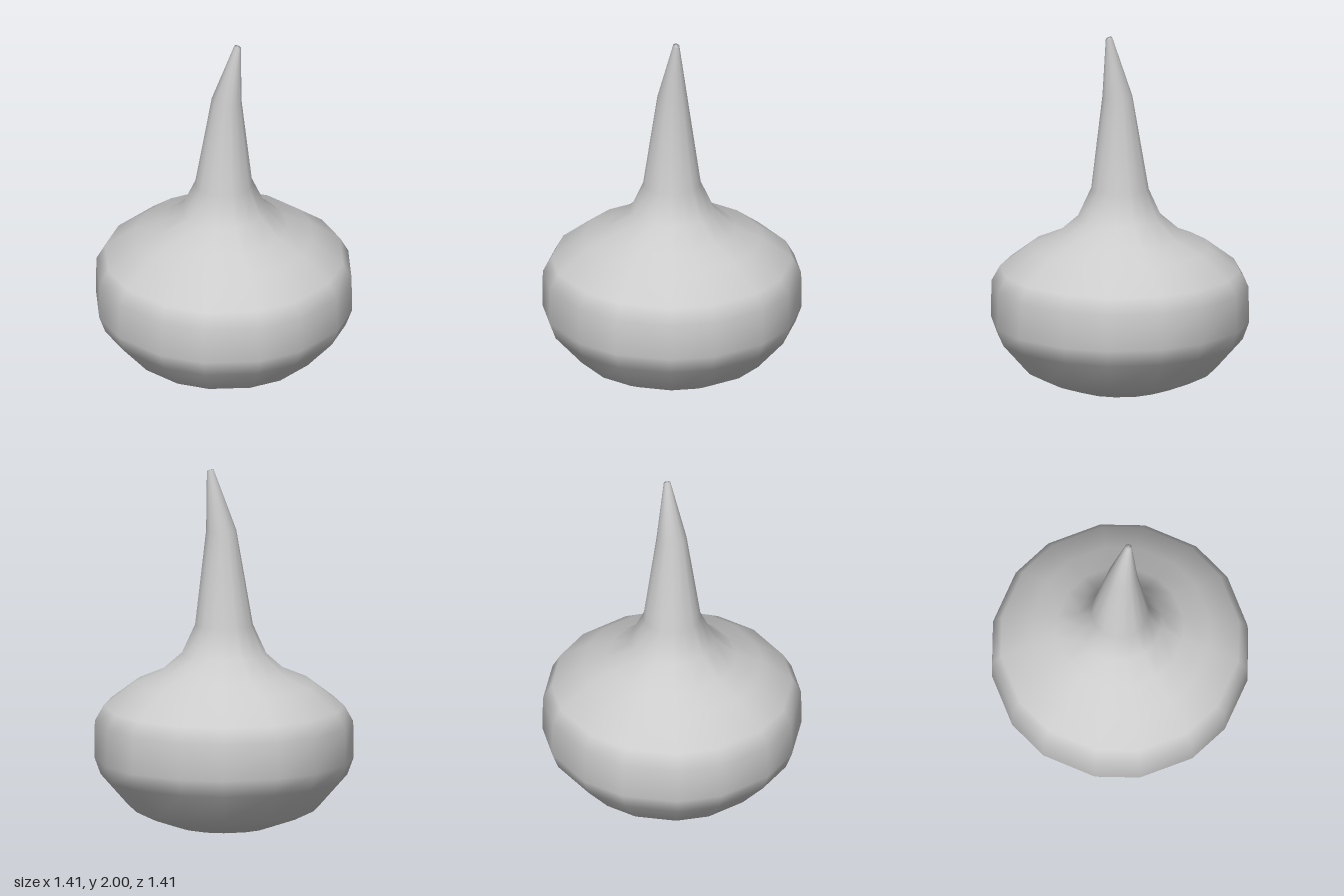
import * as THREE from 'three';

// Rings from base to tip: radius, height, centre x, centre z, tilt
const RINGS = [
  [0.13, 0.01, 0, 0, 0],
  [0.27, 0.035, 0, 0, 0],
  [0.41, 0.085, 0, 0, 0],
  [0.52, 0.14, 0, 0, 0],
  [0.67, 0.31, 0, 0, 0],
  [0.705, 0.405, 0, 0, 0],
  [0.702, 0.605, 0, 0, 0],
  [0.655, 0.69, 0, 0, 0],
  [0.49, 0.815, 0, 0, 0],
  [0.35, 0.875, 0, 0, 0],
  [0.23, 0.98, 0, 0, 0],
  [0.157, 1.14, 0, 0, 0],
  [0.082, 1.66, 0.012, 0.01, 0.02],
  [0.018, 1.992, 0.066, 0.036, 0.35],
];

// Sixteen uneven sides, repeating every quarter turn
const ANGLES = [];
for (let q = 0; q < 4; q++) {
  for (const a of [-2, 18, 43, 63]) ANGLES.push(THREE.MathUtils.degToRad(a + q * 90));
}

function loftRings(rings) {
  const n = ANGLES.length;
  const positions = [];
  const index = [];
  for (const [r, y, cx, cz, tilt] of rings) {
    for (const a of ANGLES) {
      const dx = r * Math.cos(a);
      const dz = -r * Math.sin(a);
      positions.push(cx + dx, y - tilt * (dx + 0.5 * dz), cz + dz);
    }
  }
  for (let i = 0; i < rings.length - 1; i++) {
    for (let j = 0; j < n; j++) {
      const a = i * n + j;
      const b = i * n + ((j + 1) % n);
      index.push(a, b, b + n, a, b + n, a + n);
    }
  }
  // Close the base and the tip with a centre point each
  const base = rings.length * n;
  const last = base - n;
  const [, tipY, tipX, tipZ] = rings[rings.length - 1];
  positions.push(0, 0, 0, tipX, tipY + 0.002, tipZ);
  for (let j = 0; j < n; j++) {
    const k = (j + 1) % n;
    index.push(base, k, j);
    index.push(base + 1, last + j, last + k);
  }
  const geometry = new THREE.BufferGeometry();
  geometry.setAttribute('position', new THREE.Float32BufferAttribute(positions, 3));
  geometry.setIndex(index);
  geometry.computeVertexNormals();
  return geometry;
}

export function createModel() {
  const group = new THREE.Group();
  group.name = 'bulb';
  // Round bulb drawn up into a thin, slightly bent stem
  const bulb = new THREE.Mesh(loftRings(RINGS), new THREE.MeshStandardMaterial({ color: 0xcccccc }));
  bulb.name = 'bulbWithStem';
  group.add(bulb);
  return group;
}
